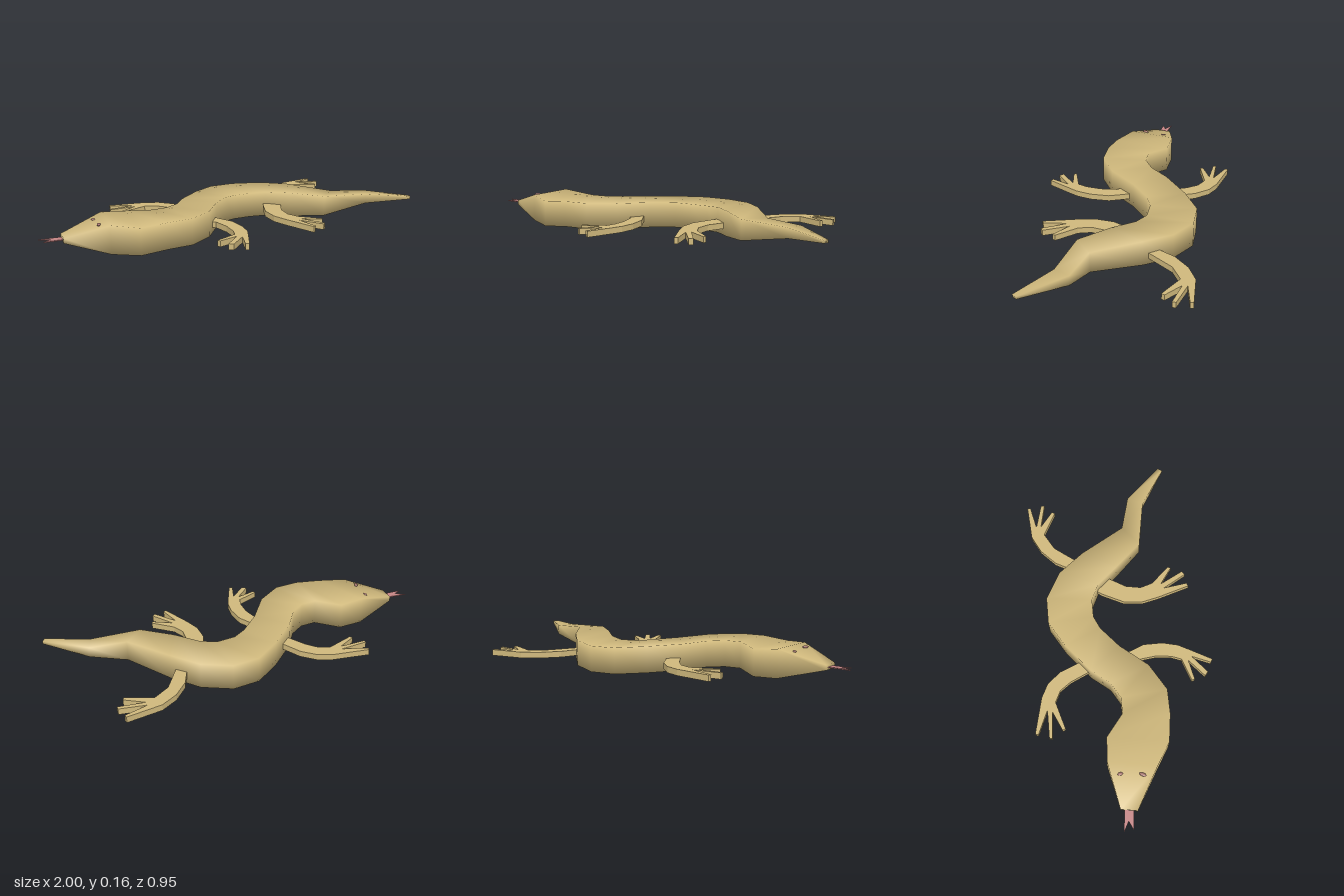
import * as THREE from 'three';

const mat = (name, color) => {
  const m = new THREE.MeshStandardMaterial({ color });
  m.name = name;
  return m;
};

// Flat slab with an outline given in x, z pairs
function slab(name, points, y, height, material) {
  const shape = new THREE.Shape(points.map(([x, z]) => new THREE.Vector2(x, -z)));
  const geo = new THREE.ExtrudeGeometry(shape, { depth: height, bevelEnabled: false });
  geo.rotateX(-Math.PI / 2);
  const mesh = new THREE.Mesh(geo, material);
  mesh.name = name;
  mesh.position.y = y;
  return mesh;
}

// Box-section loft with smooth normals; each station: [xBack, zBack, xFront, zFront, yTop, yBottom]
function loft(stations) {
  const pos = [], idx = [];
  for (const [xb, zb, xf, zf, top, bottom] of stations)
    pos.push(xb, top, zb, xf, top, zf, xf, bottom, zf, xb, bottom, zb);
  const last = (stations.length - 1) * 4;
  for (let i = 0; i < last; i += 4)
    for (let k = 0; k < 4; k++) {
      const a = i + k, b = i + (k + 1) % 4;
      idx.push(a, b, b + 4, a, b + 4, a + 4);
    }
  idx.push(0, 2, 1, 0, 3, 2, last, last + 1, last + 2, last, last + 2, last + 3);
  const geo = new THREE.BufferGeometry();
  geo.setAttribute('position', new THREE.Float32BufferAttribute(pos, 3));
  geo.setIndex(idx);
  geo.computeVertexNormals();
  return geo;
}

export function createModel() {
  const group = new THREE.Group();
  const skin = mat('skin', 0xcfb87c);
  const pink = mat('tongue pink', 0xc48484);
  const mauve = mat('eye mauve', 0xa87870);

  // Head, winding trunk and tail
  const body = new THREE.Mesh(loft([
    [-0.88, -0.085, -0.895, 0.0, 0.095, 0.07],
    [-0.65, -0.13, -0.7, 0.115, 0.16, 0.015],
    [-0.525, -0.12, -0.58, 0.19, 0.148, 0.01],
    [-0.415, -0.03, -0.44, 0.21, 0.16, 0.024],
    [-0.33, -0.03, -0.31, 0.21, 0.16, 0.024],
    [-0.25, -0.075, -0.17, 0.13, 0.157, 0.022],
    [-0.17, -0.17, -0.05, -0.01, 0.15, 0.015],
    [-0.02, -0.29, 0.06, -0.1, 0.143, 0.008],
    [0.12, -0.37, 0.13, -0.13, 0.136, 0.002],
    [0.26, -0.37, 0.23, -0.13, 0.134, 0],
    [0.4, -0.29, 0.31, -0.09, 0.14, 0.006],
    [0.5, -0.16, 0.4, 0.015, 0.147, 0.015],
    [0.635, 0.07, 0.53, 0.155, 0.142, 0.035],
    [0.82, 0.12, 0.78, 0.2, 0.132, 0.08],
    [1.0, 0.31, 0.985, 0.332, 0.121, 0.106],
  ]), skin);
  body.name = 'body';
  group.add(body);

  // Legs with three splayed toes
  const legs = {
    frontRightLeg: [
      [-0.05, -0.12], [-0.1, -0.23], [-0.14, -0.33], [-0.2, -0.4], [-0.27, -0.435],
      [-0.458, -0.48], [-0.464, -0.464], [-0.34, -0.41],
      [-0.487, -0.41], [-0.489, -0.394], [-0.35, -0.385],
      [-0.452, -0.34], [-0.445, -0.324], [-0.3, -0.365],
      [-0.24, -0.335], [-0.2, -0.28], [-0.15, -0.17], [-0.11, -0.08],
    ],
    frontLeftLeg: [
      [-0.14, -0.06], [-0.07, 0.02], [-0.03, 0.12], [-0.03, 0.22], [-0.05, 0.3],
      [-0.085, 0.365], [-0.145, 0.472], [-0.162, 0.462], [-0.12, 0.365],
      [-0.212, 0.44], [-0.232, 0.422], [-0.14, 0.345],
      [-0.245, 0.366], [-0.25, 0.35], [-0.13, 0.31],
      [-0.11, 0.26], [-0.1, 0.18], [-0.11, 0.09], [-0.18, 0.02],
    ],
    hindLeftLeg: [
      [0.33, -0.14], [0.28, -0.07], [0.225, 0.04], [0.215, 0.14], [0.235, 0.23],
      [0.285, 0.398], [0.302, 0.39], [0.285, 0.265],
      [0.355, 0.387], [0.374, 0.373], [0.31, 0.25],
      [0.4, 0.315], [0.408, 0.3], [0.32, 0.205],
      [0.3, 0.14], [0.315, 0.06], [0.37, -0.03], [0.42, -0.1],
    ],
    hindRightLeg: [
      [0.38, -0.15], [0.44, -0.22], [0.49, -0.31], [0.57, -0.385], [0.66, -0.43],
      [0.84, -0.443], [0.842, -0.426], [0.72, -0.4],
      [0.852, -0.366], [0.85, -0.347], [0.72, -0.375],
      [0.806, -0.308], [0.797, -0.292], [0.67, -0.36],
      [0.58, -0.31], [0.53, -0.245], [0.47, -0.165], [0.42, -0.1],
    ],
  };
  for (const [name, outline] of Object.entries(legs))
    group.add(slab(name, outline, name.startsWith('front') ? 0.048 : 0.044, 0.031, skin));

  // Forked tongue
  group.add(slab('tongue', [
    [-0.87, -0.065], [-0.87, -0.02], [-0.89, -0.02], [-0.985, -0.03],
    [-0.94, -0.05], [-0.995, -0.08], [-0.89, -0.065],
  ], 0.079, 0.005, pink));

  // Small eyes set into the top of the head
  for (const [name, x, y, z, turn, len] of [
    ['rightEye', -0.715, 0.143, -0.07, 0.2, 0.014],
    ['leftEye', -0.73, 0.15, 0.04, -0.5, 0.019],
  ]) {
    const eye = new THREE.Mesh(new THREE.SphereGeometry(1, 12, 8), mauve);
    eye.name = name;
    eye.scale.set(0.009, 0.007, len);
    eye.position.set(x, y, z);
    eye.rotation.y = turn;
    group.add(eye);
  }
  return group;
}
